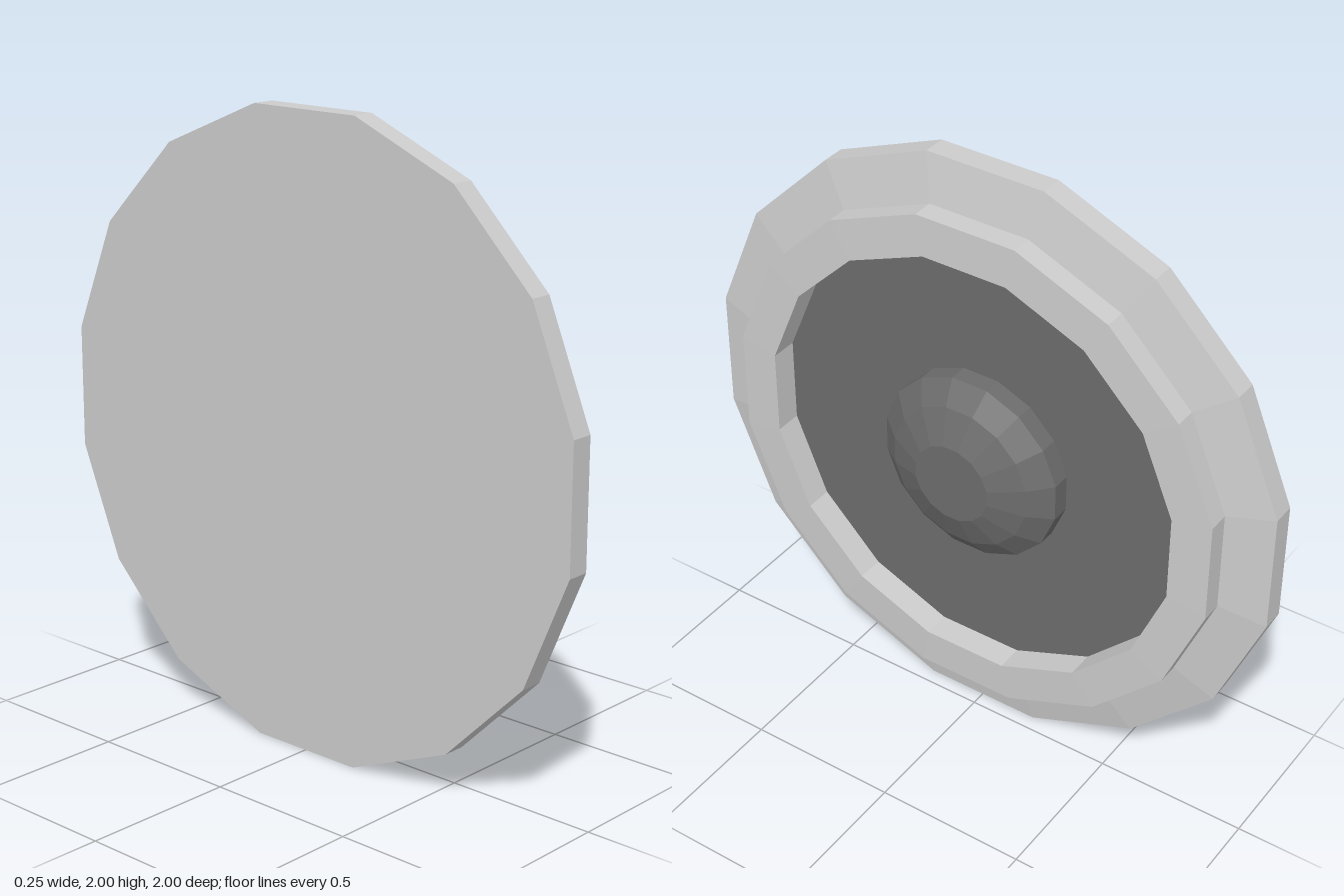
import * as THREE from 'three';

const SIDES = 16;
const APOTHEM = 1 / Math.cos(Math.PI / SIDES); // flat-to-centre distance -> corner radius

// Faceted turned part around the x axis; profile is [radius to flat, x]
function turned(name, profile, material) {
  const points = profile.map(([r, x]) => new THREE.Vector2(r * APOTHEM, x));
  const geometry = new THREE.LatheGeometry(points, SIDES, Math.PI / SIDES);
  geometry.rotateZ(-Math.PI / 2);
  const mesh = new THREE.Mesh(geometry, material);
  mesh.name = name;
  mesh.position.y = 1;
  return mesh;
}

export function createModel() {
  const light = new THREE.MeshStandardMaterial({ color: 0xcccccc, flatShading: true });
  const dark = new THREE.MeshStandardMaterial({ color: 0x6c6c6c, flatShading: true });
  const group = new THREE.Group();

  // Backing disc with sloped shoulder, stepped ring and recess wall
  group.add(turned('rim', [
    [0, -0.125], [1, -0.125], [1, -0.05], [0.85, -0.02],
    [0.85, 0.05], [0.72, 0.055], [0.72, -0.035],
  ], light));

  // Recessed floor
  group.add(turned('recessFloor', [[0.72, -0.035], [0.31, -0.035]], dark));

  // Central boss
  group.add(turned('boss', [
    [0.31, -0.035], [0.31, 0.025], [0.24, 0.08], [0.13, 0.125], [0, 0.125],
  ], dark));

  return group;
}
